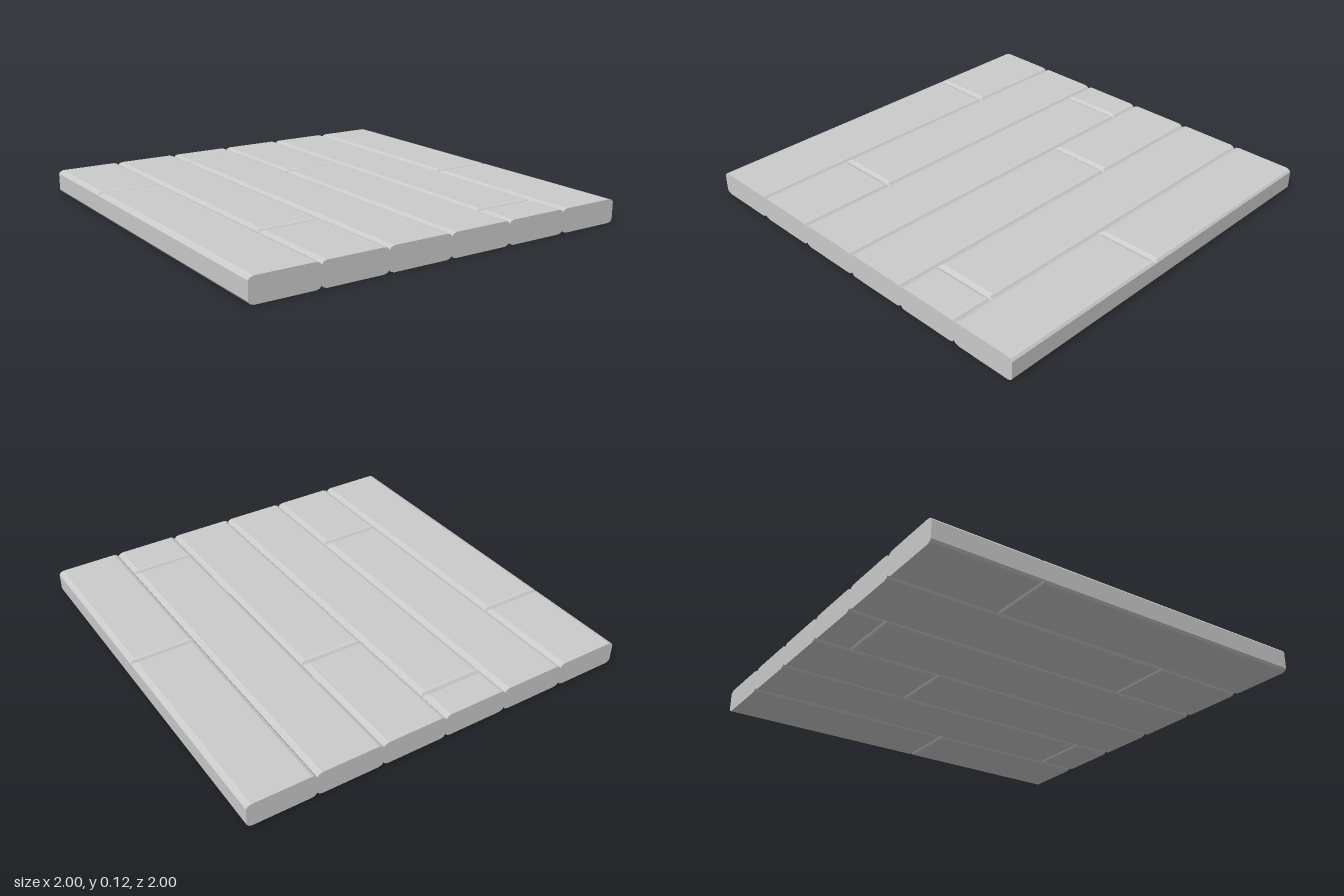
import * as THREE from 'three';

const WIDTH = 1 / 3;
const HEIGHT = 0.118;
// Rounded-over edge: [inset from the side, drop from the face]
const EDGE = [[0.025, 0], [0.009, 0.005], [0, 0.016]];

// One board running from z0 to z1; bevelled ends meet another board, square ends are cut flush
function boardGeometry(z0, z1, bevelBack, bevelFront) {
  const h = WIDTH / 2;
  const profile = [
    ...EDGE.map(([i, d]) => [h - i, d]),
    ...[...EDGE].reverse().map(([i, d]) => [h - i, HEIGHT - d]),
    ...EDGE.map(([i, d]) => [-h + i, HEIGHT - d]),
    ...[...EDGE].reverse().map(([i, d]) => [-h + i, d]),
  ];
  // Sections along the length: [z, drop]
  const end = EDGE.map(([i, d]) => [i * 0.8, d]);
  const back = bevelBack ? [...end].reverse().map(([i, d]) => [z0 + i, d]) : [[z0, 0]];
  const front = bevelFront ? end.map(([i, d]) => [z1 - i, d]) : [[z1, 0]];
  const sections = [...back, ...front];

  const positions = [];
  const index = [];
  const n = profile.length;
  for (const [z, drop] of sections) {
    for (const [x, y] of profile) {
      positions.push(x, THREE.MathUtils.clamp(y, drop, HEIGHT - drop), z);
    }
  }
  for (let s = 0; s < sections.length - 1; s++) {
    for (let i = 0; i < n; i++) {
      const a = s * n + i;
      const b = s * n + (i + 1) % n;
      index.push(a, b, b + n, a, b + n, a + n);
    }
  }
  // End caps
  const last = (sections.length - 1) * n;
  for (let i = 1; i < n - 1; i++) {
    index.push(0, i + 1, i, last, last + i, last + i + 1);
  }
  const geometry = new THREE.BufferGeometry();
  geometry.setAttribute('position', new THREE.Float32BufferAttribute(positions, 3));
  geometry.setIndex(index);
  const flat = geometry.toNonIndexed();
  flat.computeVertexNormals();
  return flat;
}

export function createModel() {
  const group = new THREE.Group();
  group.name = 'plankFloor';
  const material = new THREE.MeshStandardMaterial({ color: 0xcccccc, flatShading: true });

  // Staggered butt joint of each row, from -x to +x
  const joints = [-0.46, 0.5, -0.82, -0.34, 0.785, 0.095];
  joints.forEach((z, row) => {
    const pieces = [
      ['backPlank', boardGeometry(-1, z, false, true)],
      ['frontPlank', boardGeometry(z, 1, true, false)],
    ];
    for (const [name, geometry] of pieces) {
      const plank = new THREE.Mesh(geometry, material);
      plank.name = `${name}${row + 1}`;
      plank.position.x = -1 + WIDTH * (row + 0.5);
      group.add(plank);
    }
  });
  return group;
}
